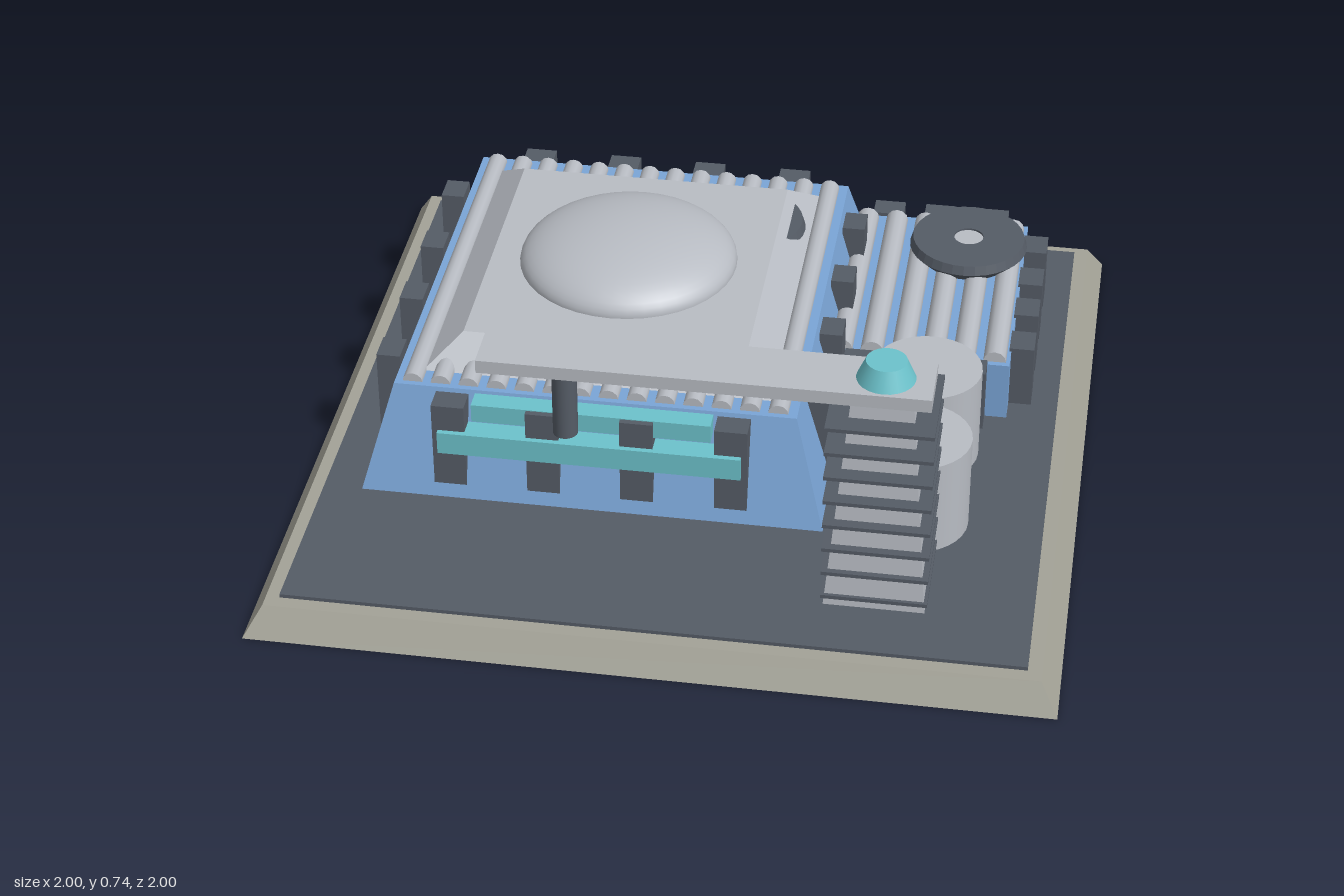
import * as THREE from 'three';

const mat = (name, color, extra = {}) => {
  const m = new THREE.MeshStandardMaterial({ color });
  m.name = name;
  return Object.assign(m, extra);
};

export function createModel() {
  const stone = mat('stone', 0xa3a297);
  const dark = mat('dark slate', 0x555c66);
  const blue = mat('blue wall', 0x7aa5d6);
  const grey = mat('light grey', 0xb8bcc3);
  const teal = mat('teal glass', 0x6cc2cb);

  const model = new THREE.Group();
  model.name = 'factory';

  const group = (name) => {
    const g = new THREE.Group();
    g.name = name;
    model.add(g);
    return g;
  };
  const add = (parent, name, geo, material, x, y, z) => {
    const m = new THREE.Mesh(geo, material);
    m.name = name;
    m.position.set(x, y, z);
    parent.add(m);
    return m;
  };
  // Box given by its limits on each axis
  const block = (parent, name, material, x0, x1, y0, y1, z0, z1) =>
    add(parent, name, new THREE.BoxGeometry(x1 - x0, y1 - y0, z1 - z0), material,
      (x0 + x1) / 2, (y0 + y1) / 2, (z0 + z1) / 2);
  // Box whose top is drawn in by an equal inset on all four sides
  const taper = (parent, name, material, x, z, hx, hz, y0, y1, inset) => {
    const geo = new THREE.BoxGeometry(2 * hx, y1 - y0, 2 * hz);
    const p = geo.attributes.position;
    for (let i = 0; i < p.count; i++) {
      if (p.getY(i) > 0) {
        p.setX(i, Math.sign(p.getX(i)) * (hx - inset));
        p.setZ(i, Math.sign(p.getZ(i)) * (hz - inset));
      }
    }
    geo.computeVertexNormals();
    return add(parent, name, geo, material, x, (y0 + y1) / 2, z);
  };
  const drum = (parent, name, material, x, z, rTop, rBottom, y0, y1, sides = 32) =>
    add(parent, name, new THREE.CylinderGeometry(rTop, rBottom, y1 - y0, sides), material,
      x, (y0 + y1) / 2, z);
  // Row of roof rolls running front to back
  const rolls = (parent, count, x0, step, y, r, z0, z1) => {
    const geo = new THREE.CylinderGeometry(r, r, z1 - z0, 12).rotateX(Math.PI / 2);
    for (let i = 0; i < count; i++) add(parent, 'roofRoll', geo, grey, x0 + i * step, y, (z0 + z1) / 2);
  };
  // Ring-shaped fan housing with a bevelled rim
  const fan = (parent, x, y, z, r) => {
    const pts = [[0.04, 0], [r - 0.035, 0], [r, 0.035], [r - 0.008, 0.06], [0.04, 0.06], [0.04, 0]];
    const geo = new THREE.LatheGeometry(pts.map(([a, b]) => new THREE.Vector2(a, b)), 32).toNonIndexed();
    geo.computeVertexNormals();
    add(parent, 'fanRing', geo, dark, x, y, z);
    drum(parent, 'fanHub', grey, x, z, 0.04, 0.04, y, y + 0.055, 24);
  };

  // Ground plinth
  const base = group('base');
  taper(base, 'plinth', stone, 0, 0, 1, 1, 0, 0.075, 0.045);
  block(base, 'yard', dark, -0.92, 0.92, 0.07, 0.085, -0.92, 0.92);

  // Main hall with sloping walls
  const hall = group('mainHall');
  const cx = -0.225, cz = -0.165;
  taper(hall, 'hallWalls', blue, cx, cz, 0.595, 0.635, 0.085, 0.37, 0.08);
  rolls(hall, 14, -0.695, 0.072, 0.368, 0.026, -0.705, 0.375);
  taper(hall, 'roof', grey, cx, cz, 0.46, 0.495, 0.365, 0.44, 0.095);
  const dome = add(hall, 'dome',
    new THREE.SphereGeometry(0.287, 40, 14, 0, Math.PI * 2, 0, Math.PI / 2), grey, -0.23, 0.44, cz);
  dome.scale.y = 0.36;
  fan(hall, 0.058, 0.36, -0.44, 0.147);

  // Upright buttresses round the hall
  for (const x of [-0.588, -0.347, -0.107, 0.133]) {
    block(hall, 'buttress', dark, x - 0.042, x + 0.042, 0.085, 0.36, 0.395, 0.46);
    block(hall, 'buttress', dark, x - 0.042, x + 0.042, 0.085, 0.36, -0.8, -0.735);
  }
  for (const z of [-0.56, -0.297, -0.045, 0.22]) {
    block(hall, 'buttress', dark, -0.817, -0.755, 0.085, 0.36, z - 0.04, z + 0.04);
    block(hall, 'buttress', dark, 0.298, 0.358, 0.085, 0.36, z - 0.04, z + 0.04);
  }

  // Front window bands
  block(hall, 'lowerWindow', teal, -0.615, 0.16, 0.225, 0.287, 0.4, 0.474);
  block(hall, 'upperWindow', teal, -0.53, 0.08, 0.312, 0.362, 0.37, 0.445);

  // Low annex with a rolled roof
  const annex = group('annex');
  block(annex, 'annexWalls', blue, 0.15, 0.79, 0.085, 0.25, -0.775, -0.09);
  rolls(annex, 8, 0.183, 0.081, 0.25, 0.03, -0.76, -0.105);
  for (const x of [0.245, 0.4, 0.542, 0.69]) {
    block(annex, 'annexPier', dark, x - 0.042, x + 0.042, 0.085, 0.26, -0.835, -0.77);
    block(annex, 'annexPier', dark, x - 0.042, x + 0.042, 0.085, 0.26, -0.095, -0.03);
  }
  for (const z of [-0.672, -0.51, -0.36, -0.2])
    block(annex, 'annexPier', dark, 0.785, 0.85, 0.085, 0.26, z - 0.042, z + 0.042);
  block(annex, 'annexWindow', teal, 0.3, 0.65, 0.18, 0.23, -0.1, -0.055);
  fan(annex, 0.637, 0.255, -0.6, 0.16);

  // Storage tanks
  const tanks = group('tanks');
  for (const z of [0.08, 0.38]) drum(tanks, 'tank', grey, 0.59, z, 0.14, 0.14, 0.085, 0.345);

  // Finned tower carrying the crane arm
  const tower = group('craneTower');
  const tx = 0.53, tz = 0.63;
  taper(tower, 'towerShaft', grey, tx, tz, 0.125, 0.125, 0.085, 0.67, 0.05);
  for (let i = 0; i < 8; i++)
    add(tower, 'towerFin', new THREE.BoxGeometry(0.262, 0.01, 0.262), dark, tx, 0.112 + i * 0.0719, tz);
  block(tower, 'craneArm', grey, -0.45, 0.647, 0.655, 0.69, 0.552, 0.71);
  drum(tower, 'craneHoist', dark, -0.25, tz, 0.031, 0.031, 0.445, 0.66, 20);
  drum(tower, 'beacon', teal, tx, tz, 0.05, 0.072, 0.69, 0.74, 24);

  return model;
}
